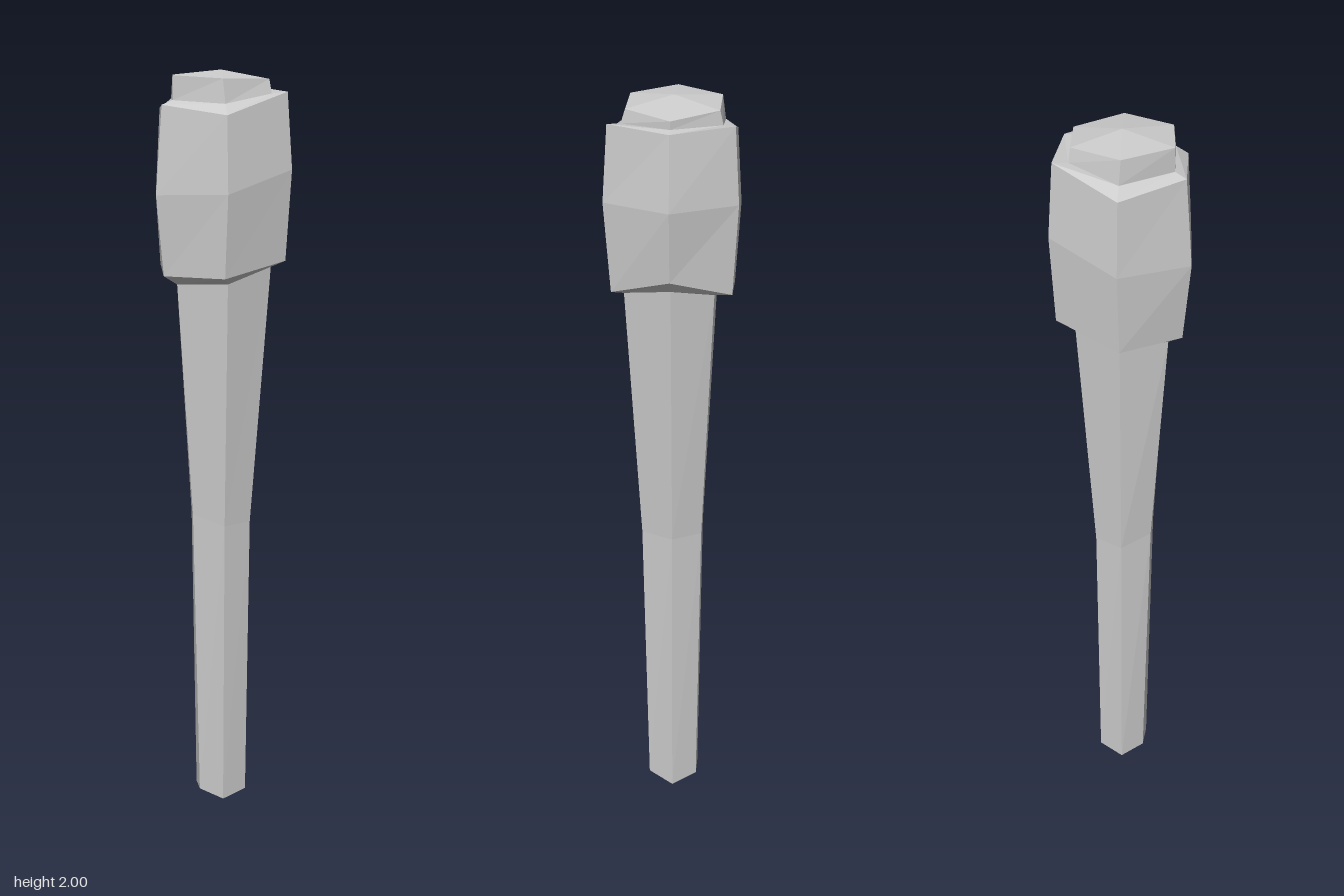
import * as THREE from 'three';

// Uneven hexagon: x and y go left corner, inner left, inner right, right corner; z is [back, front]
function ring(x, y, z) {
  const order = [[3, 0], [2, 1], [1, 1], [0, 0], [1, -1], [2, -1]];
  return order.map(([i, s]) =>
    new THREE.Vector3(x[i], y[i], s > 0 ? z[1] : s < 0 ? z[0] : 0));
}

// A ring shrunk to one point
const tip = (x, y, z) => Array.from({ length: 6 }, () => new THREE.Vector3(x, y, z));

// Skin a stack of rings from bottom to top
function loft(name, rings, material) {
  const pos = [];
  const tri = (a, b, c) => {
    if (a.equals(b) || b.equals(c) || a.equals(c)) return;
    for (const p of [a, b, c]) pos.push(p.x, p.y, p.z);
  };
  for (let k = 0; k < rings.length - 1; k++) {
    const lo = rings[k], hi = rings[k + 1];
    for (let i = 0; i < 6; i++) {
      const j = (i + 1) % 6;
      tri(lo[i], hi[i], lo[j]);
      tri(lo[j], hi[i], hi[j]);
    }
  }
  const geo = new THREE.BufferGeometry();
  geo.setAttribute('position', new THREE.Float32BufferAttribute(pos, 3));
  geo.computeVertexNormals();
  const mesh = new THREE.Mesh(geo, material);
  mesh.name = name;
  return mesh;
}

export function createModel() {
  const group = new THREE.Group();
  group.name = 'torch';
  const grey = new THREE.MeshStandardMaterial({ color: 0xcccccc, flatShading: true });

  // Shared seams between the parts
  const handleTop = ring([-0.13, -0.056, 0.077, 0.13], [1.47, 1.48, 1.52, 1.545], [-0.105, 0.12]);
  const capBase = ring([-0.14, -0.066, 0.073, 0.143], [1.93, 1.925, 1.945, 1.95], [-0.122, 0.123]);

  // Tapered handle with a blunt point
  group.add(loft('handle', [
    tip(0.008, 0, 0),
    ring([-0.066, -0.034, 0.04, 0.08], [0.045, 0.033, 0.045, 0.03], [-0.065, 0.068]),
    ring([-0.085, -0.04, 0.041, 0.083], [0.85, 0.83, 0.83, 0.83], [-0.075, 0.083]),
    handleTop,
  ], grey));

  // Bulging head, slightly tilted, with its underside and rim
  group.add(loft('head', [
    handleTop,
    ring([-0.17, -0.085, 0.1, 0.167], [1.495, 1.5, 1.53, 1.58], [-0.15, 0.15]),
    ring([-0.191, -0.087, 0.106, 0.189], [1.7, 1.71, 1.76, 1.76], [-0.163, 0.166]),
    ring([-0.172, -0.082, 0.099, 0.17], [1.92, 1.9, 1.95, 1.945], [-0.152, 0.154]),
    capBase,
  ], grey));

  // Low pointed cap
  group.add(loft('cap', [
    capBase,
    ring([-0.14, -0.066, 0.073, 0.143], [1.99, 1.985, 1.98, 1.97], [-0.114, 0.112]),
    tip(0.005, 2, 0),
  ], grey));

  return group;
}
